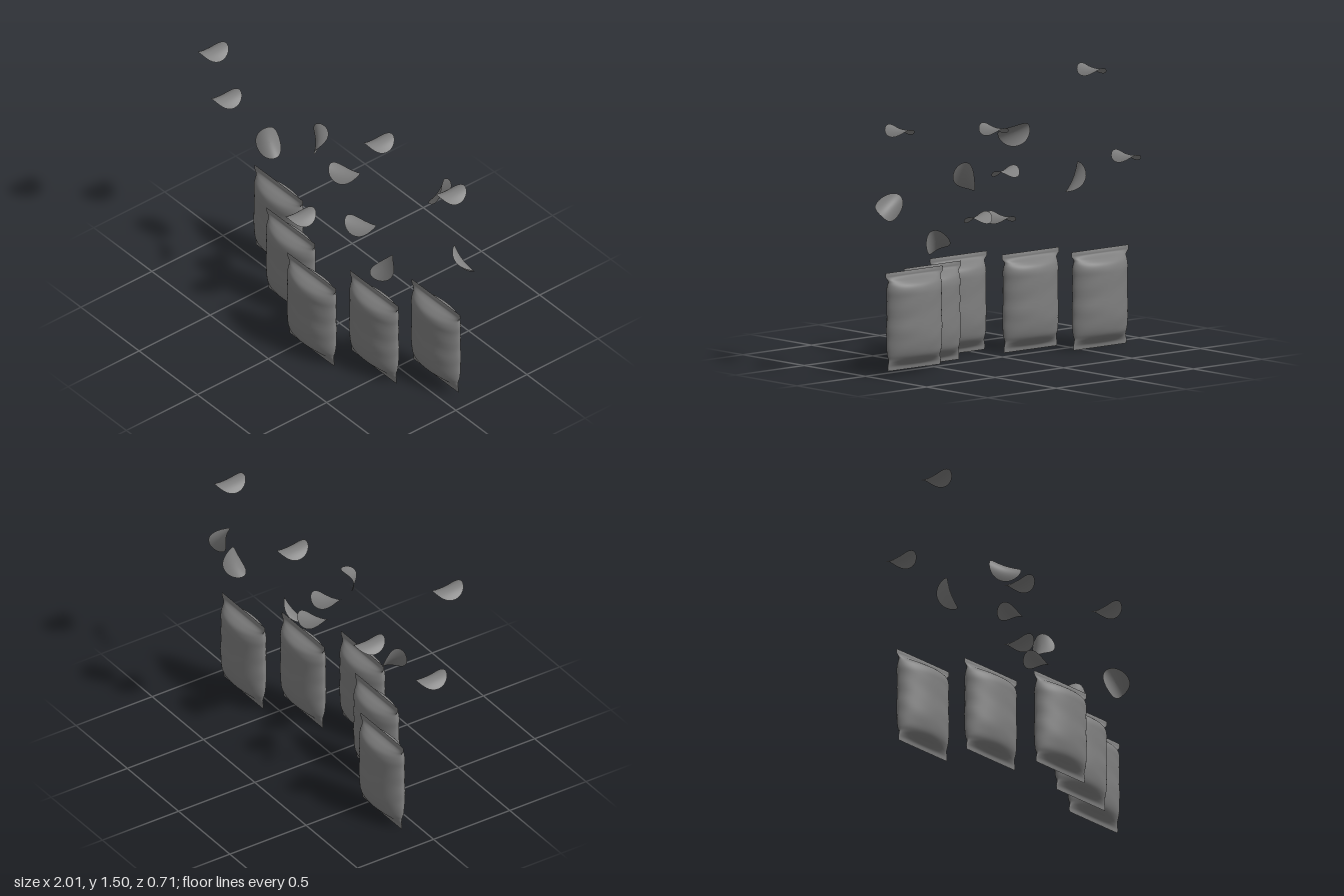
import * as THREE from 'three';
import { mergeVertices } from 'three/addons/utils/BufferGeometryUtils.js';

const material = new THREE.MeshStandardMaterial({ color: 0x7e7e7e, side: THREE.DoubleSide });

// Bag outline from bottom seal to top seal: [height, half width, half depth]
const BAG_ROWS = [
  [0, 0.192, 0.001], [0.022, 0.194, 0.006], [0.04, 0.19, 0.024], [0.06, 0.187, 0.05],
  [0.085, 0.193, 0.069], [0.13, 0.195, 0.081], [0.2, 0.196, 0.088], [0.3, 0.193, 0.086],
  [0.4, 0.194, 0.086], [0.44, 0.194, 0.084], [0.47, 0.192, 0.073], [0.492, 0.19, 0.046],
  [0.506, 0.199, 0.018], [0.517, 0.208, 0.006], [0.528, 0.209, 0.005], [0.542, 0.208, 0.001],
];

// Pillow bag: a tube whose sections flatten into the two seals
function bagGeometry() {
  const curve = new THREE.CatmullRomCurve3(BAG_ROWS.map((r) => new THREE.Vector3(...r)));
  const tube = new THREE.CylinderGeometry(1, 1, 1, 64, 60, true);
  tube.deleteAttribute('normal');
  tube.deleteAttribute('uv');
  const geo = mergeVertices(tube);
  const pos = geo.attributes.position;
  const row = new THREE.Vector3();
  for (let i = 0; i < pos.count; i++) {
    const t = pos.getX(i), s = pos.getZ(i);
    curve.getPoint(THREE.MathUtils.clamp(pos.getY(i) + 0.5, 0, 1), row);
    const puff = Math.sign(s) * Math.pow(Math.abs(s), 1.25);
    // Soft creases across the foil, strongest towards the side edges
    const fullness = row.z / 0.088;
    const crease = 0.002 * puff * Math.sin(row.x * 55 + t * 3) * Math.abs(t) * fullness;
    const width = row.y + 0.0015 * Math.sin(row.x * 60) * fullness;
    pos.setXYZ(i, t * width, row.x, row.z * puff + crease);
  }
  geo.computeVertexNormals();
  return geo;
}

// Saddle-shaped oval crisp: arched across its width, lifted at its long ends
function crispGeometry() {
  const geo = new THREE.RingGeometry(0.0001, 1, 40, 10);
  geo.rotateX(-Math.PI / 2);
  const pos = geo.attributes.position;
  for (let i = 0; i < pos.count; i++) {
    const u = pos.getX(i), v = pos.getZ(i);
    // Slightly squared oval outline
    const full = 1 + 0.14 * u * u * v * v;
    const x = u * full * 0.068, z = v * full * 0.09;
    pos.setXYZ(i, x, 0.015 + 1.5 * z * z - 8 * x * x, z);
  }
  geo.computeVertexNormals();
  return geo;
}

// Crisps: centre, direction of the arched face, direction of the long axis
const LEVEL = [[0, 1, -0.06], [0, 0.06, 1]];
const CRISPS = [
  [[-0.835, 1.47, 0.205], ...LEVEL],
  [[-0.932, 1.003, 0.032], ...LEVEL],
  [[0.18, 1.288, -0.13], ...LEVEL],
  [[0.838, 1.345, -0.098], ...LEVEL],
  [[-0.135, 0.733, 0.162], ...LEVEL],
  [[0.003, 1.022, -0.03], [0.08, 1, 0.03], [0.95, -0.08, -0.3]],
  [[0.178, 0.782, 0], [0.08, 1, 0.03], [0.95, -0.08, -0.3]],
  [[-0.125, 1.215, 0.04], [-0.45, 0.42, 0.75], [0.78, -0.31, 0.52]],
  [[-0.568, 0.922, 0.03], [0.82, 0.45, 0.3], [-0.45, 0.88, 0]],
  [[0.522, 1.075, -0.285], [-0.85, 0.42, 0.26], [0.35, 0.85, -0.3]],
  [[0.918, 0.935, -0.1], [0.24, 0.5, -0.82], [0.8, -0.55, 0]],
  [[0.44, 0.67, 0.04], [-0.18, 0.6, 0.74], [0.6, 0.62, -0.4]],
];

export function createModel() {
  const model = new THREE.Group();
  model.name = 'crispBags';

  // Row of five bags in a wedge
  const bagGeo = bagGeometry();
  const bags = [
    [-0.632, 0.003, -0.09], [-0.295, 0.003, 0.1], [0.085, 0.003, 0.264],
    [0.42, 0.003, 0.1], [0.722, 0.031, -0.088],
  ];
  bags.forEach((p, i) => {
    const bag = new THREE.Mesh(bagGeo, material);
    bag.name = `bag${i + 1}`;
    bag.position.set(...p);
    model.add(bag);
  });

  // Falling crisps
  const crispGeo = crispGeometry();
  CRISPS.forEach(([centre, up, along], i) => {
    const n = new THREE.Vector3(...up).normalize();
    const side = new THREE.Vector3().crossVectors(n, new THREE.Vector3(...along)).normalize();
    const long = new THREE.Vector3().crossVectors(side, n);
    const crisp = new THREE.Mesh(crispGeo, material);
    crisp.name = `crisp${i + 1}`;
    crisp.quaternion.setFromRotationMatrix(new THREE.Matrix4().makeBasis(side, n, long));
    crisp.position.set(...centre);
    model.add(crisp);
  });
  return model;
}
